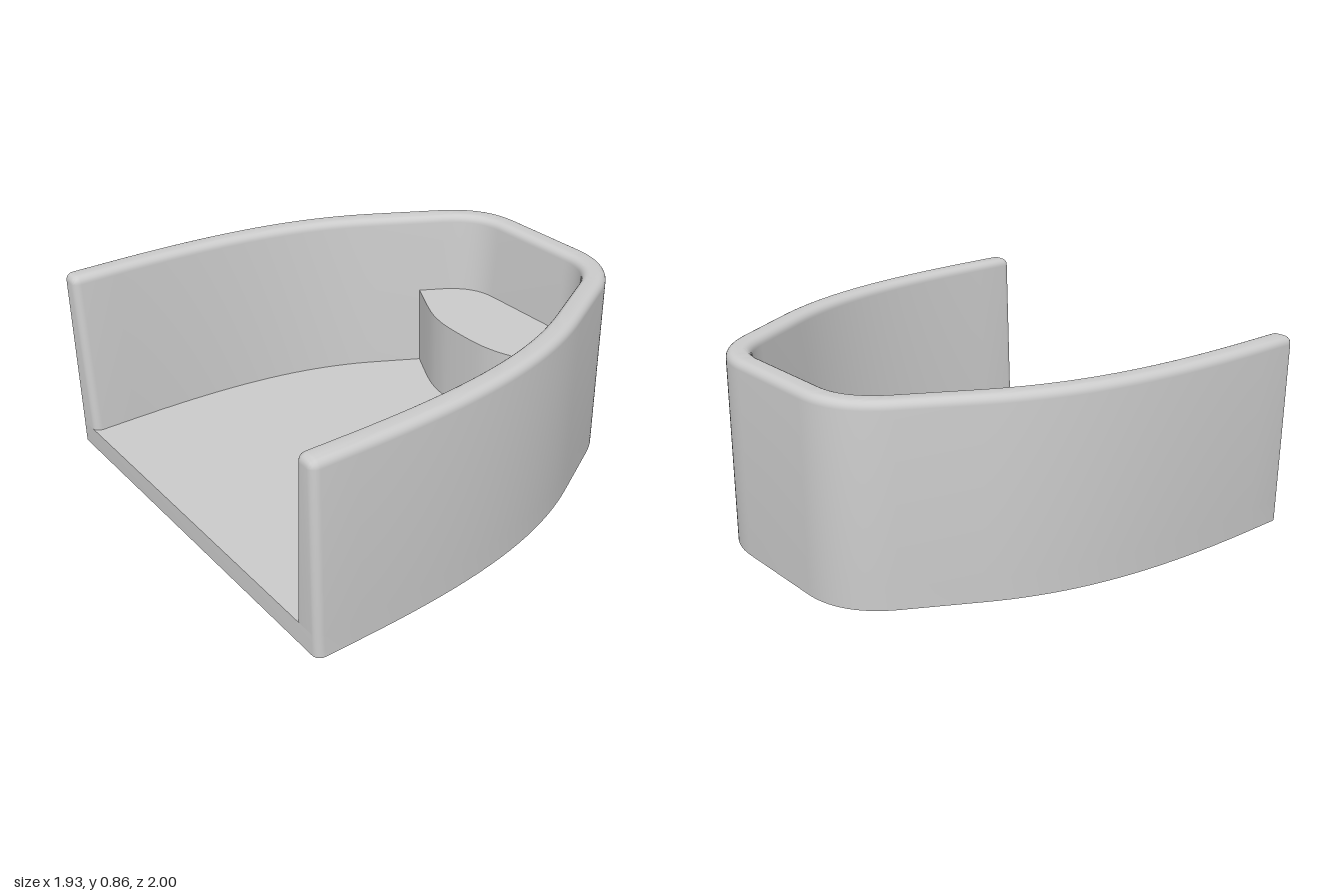
import * as THREE from 'three';
import { toCreasedNormals } from 'three/addons/utils/BufferGeometryUtils.js';

const HEIGHT = 0.855, FLOOR = 0.1, LEDGE = 0.475, R = 0.035;
const INNER_TOP = 0.105, INNER_BASE = 0.145; // wall thickness, tapering upwards
const V = (x, z) => new THREE.Vector2(x, z);

// Stations along the horseshoe outline: outer point, inward normal, edge inset
function makeStations() {
  const half = new THREE.Path();
  half.moveTo(0.22, -1);
  half.quadraticCurveTo(0.435, -1, 0.55, -0.8);
  half.lineTo(0.71, -0.51);
  half.bezierCurveTo(0.9, -0.17, 0.965, 0.22, 0.965, 0.8);
  half.lineTo(0.965, 1 - R);
  const right = half.getPoints(20);
  const pts = [...right.map(p => V(-p.x, p.y)).reverse(), ...right];
  const stations = pts.map((p, i) => {
    const a = pts[Math.max(i - 1, 0)], b = pts[Math.min(i + 1, pts.length - 1)];
    const t = b.clone().sub(a).normalize();
    return { p, n: V(-t.y, t.x), inset: 0 };
  });
  // rounded front ends
  for (let k = 1; k <= 6; k++) {
    const a = k / 6 * Math.PI / 2, z = 1 - R + R * Math.sin(a), inset = R * (1 - Math.cos(a));
    stations.push({ p: V(0.965, z), n: V(-1, 0), inset });
    stations.unshift({ p: V(-0.965, z), n: V(1, 0), inset });
  }
  return stations;
}

// Wall cross-section as [inward offset, height], from outer foot over the top to inner foot
function wallProfile(inset) {
  const r = Math.max(R - inset, 0.002), top = HEIGHT - inset;
  const outer = inset, inner = INNER_TOP - inset, out = [[outer, FLOOR]];
  for (let k = 0; k <= 6; k++) {
    const a = k / 6 * Math.PI / 2;
    out.push([outer + r * (1 - Math.cos(a)), top - r + r * Math.sin(a)]);
  }
  for (let k = 0; k <= 6; k++) {
    const a = k / 6 * Math.PI / 2;
    out.push([inner - r * (1 - Math.sin(a)), top - r + r * Math.cos(a)]);
  }
  out.push([INNER_BASE - inset, FLOOR]);
  return out;
}

function wallGeometry(stations) {
  const pos = [], idx = [];
  let m = 0;
  for (const { p, n, inset } of stations) {
    const prof = wallProfile(inset);
    m = prof.length;
    for (const [d, y] of prof) pos.push(p.x + n.x * d, y, p.y + n.y * d);
  }
  const last = (stations.length - 1) * m;
  for (let i = 0; i < stations.length - 1; i++) {
    for (let j = 0; j < m - 1; j++) {
      const a = i * m + j, b = a + 1, c = a + m, d = c + 1;
      idx.push(a, b, c, b, d, c);
    }
  }
  // flat end caps
  for (let j = 1; j < m - 1; j++) {
    idx.push(0, j + 1, j);
    idx.push(last, last + j, last + j + 1);
  }
  const g = new THREE.BufferGeometry();
  g.setAttribute('position', new THREE.Float32BufferAttribute(pos, 3));
  g.setIndex(idx);
  return toCreasedNormals(g, 0.6);
}

// Upright slab from a plan outline given in x, z
function slab(points, y0, y1) {
  const shape = new THREE.Shape(points.map(p => V(p.x, -p.y)));
  const g = new THREE.ExtrudeGeometry(shape, { depth: y1 - y0, bevelEnabled: false });
  g.rotateX(-Math.PI / 2).translate(0, y0, 0);
  return toCreasedNormals(g, 0.6);
}

export function createModel() {
  const group = new THREE.Group();
  const material = new THREE.MeshStandardMaterial({ color: 0xcccccc });
  const add = (name, geometry) => {
    const mesh = new THREE.Mesh(geometry, material);
    mesh.name = name;
    group.add(mesh);
  };
  const stations = makeStations();

  add('wall', wallGeometry(stations));

  // base plate under the whole outline
  add('base', slab(stations.map(({ p, n, inset }) => p.clone().addScaledVector(n, inset)), 0, FLOOR));

  // raised ledge at the back with a bowed front, its rear set into the wall
  const rear = stations.map(({ p, n }) => p.clone().addScaledVector(n, 0.08)).filter(p => p.y < -0.67);
  const side = [V(0.535, -0.657), V(0.5, -0.64), V(0.29, -0.537), V(0.18, -0.502), V(0.08, -0.49)];
  const front = new THREE.SplineCurve([...side, ...side.map(p => V(-p.x, p.y)).reverse()]).getPoints(40);
  add('ledge', slab([...rear, ...front], FLOOR, LEDGE));

  return group;
}
